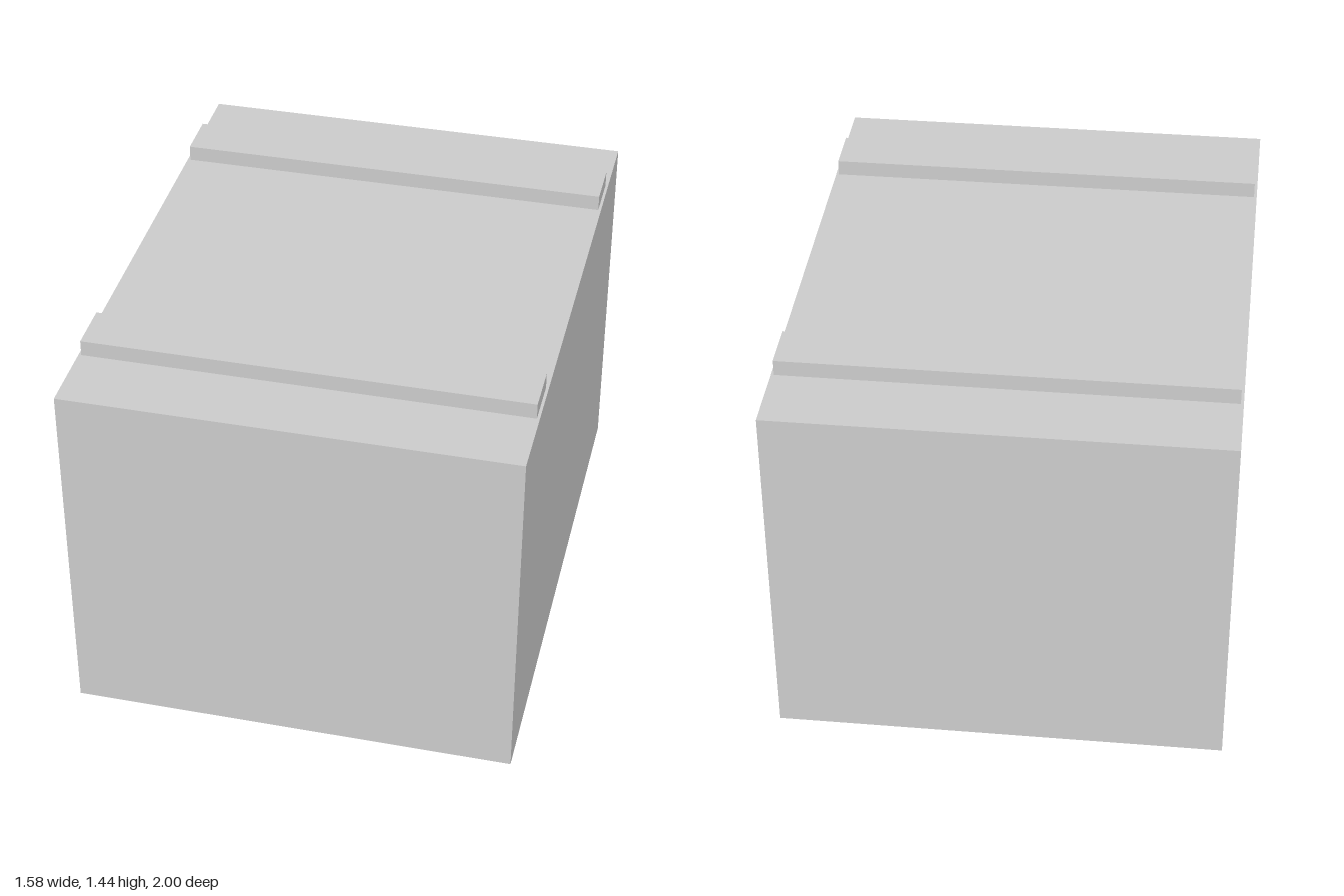
import * as THREE from 'three';

const material = new THREE.MeshStandardMaterial({ color: 0xcccccc, flatShading: true });

// Box spanning y0..y1, centred on x = 0 and the given z
function block(name, width, y0, y1, depth, z = 0) {
  const mesh = new THREE.Mesh(new THREE.BoxGeometry(width, y1 - y0, depth), material);
  mesh.position.set(0, (y0 + y1) / 2, z);
  mesh.name = name;
  return mesh;
}

export function createModel() {
  const model = new THREE.Group();
  model.name = 'crate';

  const bottom = 0.058, top = 1.383, height = 1.44;

  // Crate body
  model.add(block('crateBody', 1.58, bottom, top, 2));

  // Cross battens: runners below, slats on the lid, front and back
  for (const [end, z] of [['front', 0.655], ['back', -0.655]]) {
    model.add(block(end + 'Runner', 1.56, 0, bottom, 0.176, z));
    model.add(block(end + 'LidSlat', 1.56, top, height, 0.176, z));
  }

  return model;
}
